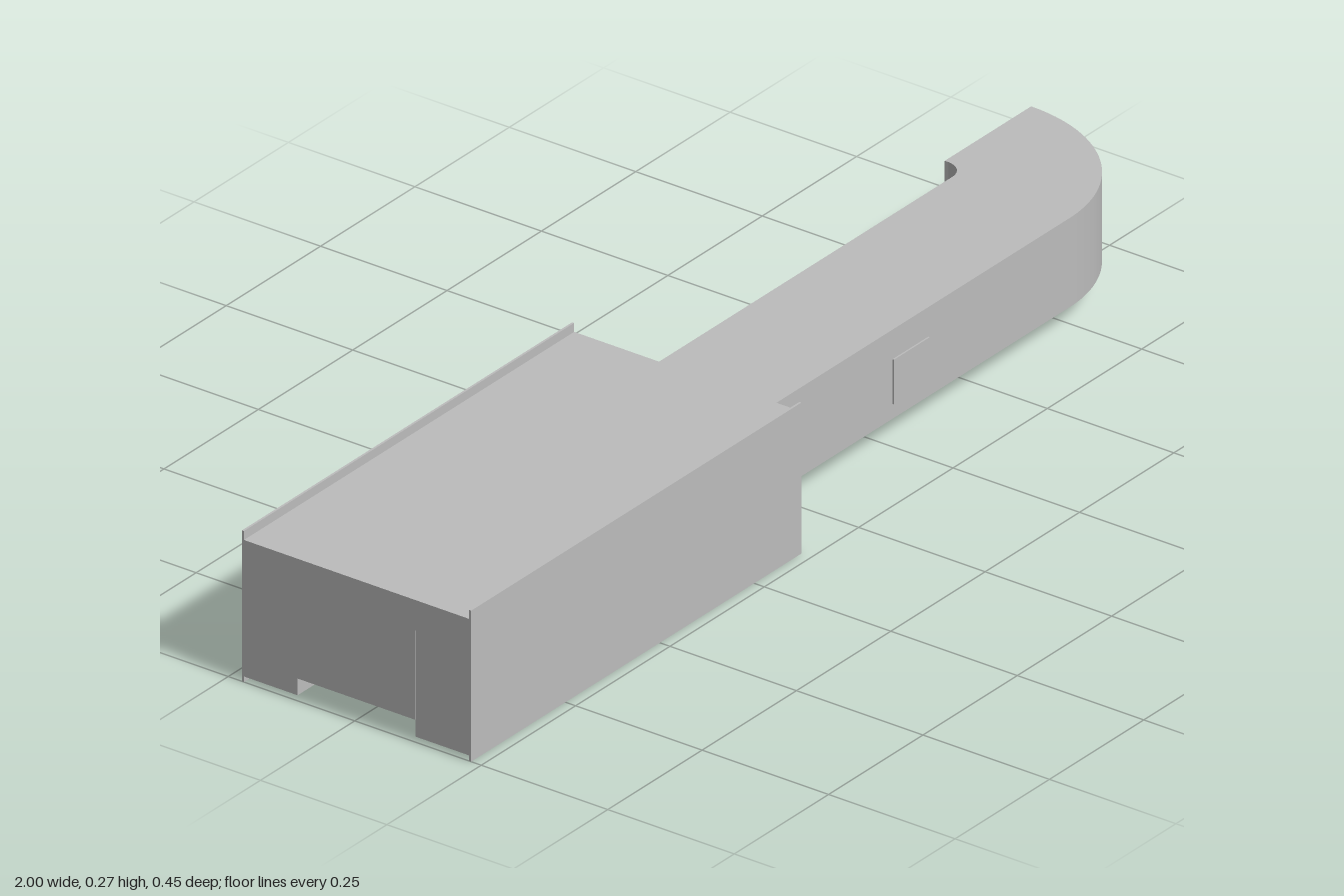
import * as THREE from 'three';

export function createModel() {
  const model = new THREE.Group();
  model.name = 'ductModel';
  const grey = new THREE.MeshStandardMaterial({ color: 0xbcbcbc });
  grey.name = 'plain grey';

  const add = (name, geometry) => {
    const mesh = new THREE.Mesh(geometry, grey);
    mesh.name = name;
    model.add(mesh);
    return mesh;
  };
  // Box given by its lower and upper limits on each axis
  const box = (name, x0, x1, y0, y1, z0, z1) =>
    add(name, new THREE.BoxGeometry(x1 - x0, y1 - y0, z1 - z0))
      .position.set((x0 + x1) / 2, (y0 + y1) / 2, (z0 + z1) / 2);

  // Housing: an upside-down channel with raised side plates
  const X0 = -1, X1 = -0.125;
  box('leftWall', X0, X1, 0.01, 0.25, 0.12, 0.226);
  box('rightWall', X0, X1, 0.01, 0.25, -0.219, -0.113);
  box('channelRoof', X0, X1, 0.2, 0.25, -0.113, 0.12);
  box('topPlate', X0, X1, 0.25, 0.255, -0.219, 0.226);
  box('leftSidePlate', X0, X1, 0, 0.271, 0.226, 0.23);
  box('rightSidePlate', X0, X1, 0, 0.271, -0.223, -0.219);

  // Arm: straight run with a rounded elbow turning to the back
  const plan = new THREE.Shape();
  plan.moveTo(-1, -0.119);
  plan.lineTo(0.735, -0.119);
  plan.absellipse(0.735, 0.155, 0.265, 0.274, -Math.PI / 2, 0, false);
  plan.lineTo(0.771, 0.155);
  plan.lineTo(0.771, 0.149);
  plan.absarc(0.735, 0.149, 0.036, 0, -Math.PI / 2, true);
  plan.lineTo(-1, 0.113);
  plan.closePath();
  const arm = new THREE.ExtrudeGeometry(plan, { depth: 0.16, bevelEnabled: false, curveSegments: 20 });
  arm.rotateX(-Math.PI / 2);
  add('elbowArm', arm).position.y = 0.04;

  // Thin access panels on the arm
  box('frontPanel', 0.265, 0.36, 0.067, 0.147, 0.118, 0.122);
  box('endPanel', 0.83, 0.94, 0.04, 0.142, -0.158, -0.154);

  // Small knob on the end of the left wall
  const knob = add('knob', new THREE.SphereGeometry(0.01, 12, 8));
  knob.scale.set(0.5, 0.8, 1.1);
  knob.position.set(X1, 0.023, 0.165);

  return model;
}
